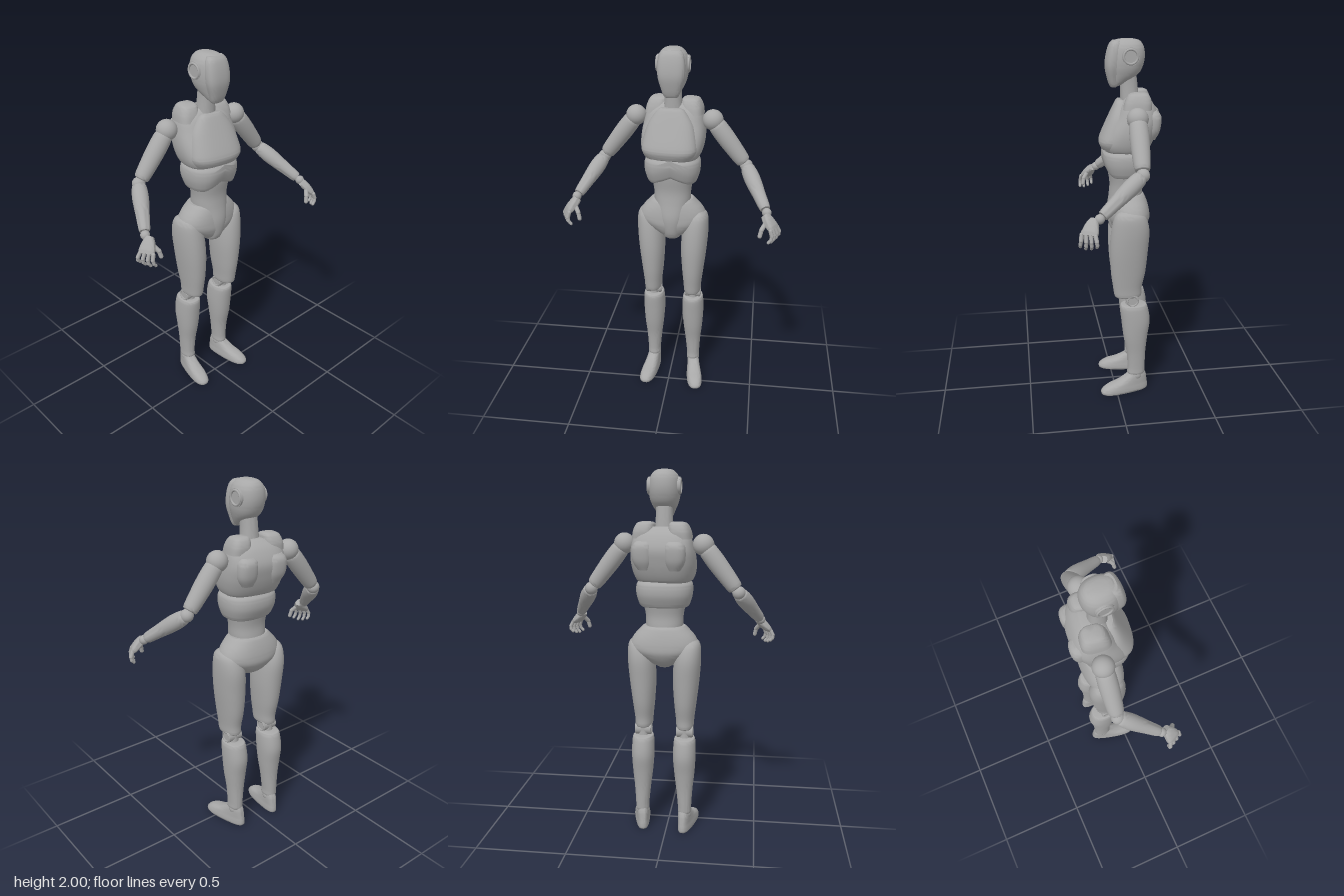
import * as THREE from 'three';
import { toCreasedNormals } from 'three/addons/utils/BufferGeometryUtils.js';

const grey = new THREE.MeshStandardMaterial({ color: 0xa8a8a8 });
grey.name = 'grey plastic';

function add(parent, name, geometry) {
  const m = new THREE.Mesh(geometry, grey);
  m.name = name;
  parent.add(m);
  return m;
}

// Smooth interpolation between neighbouring cross-sections.
function spline(a, b, c, d, t) {
  return 0.5 * (2 * b + (c - a) * t + (2 * a - 5 * b + 4 * c - d) * t * t + (3 * b - a - 3 * c + d) * t * t * t);
}

// Shell through cross-sections listed from top to bottom: [y, back x, front x, half width z, centre z].
function loft(rings, { pow = 2.2, side = 1, steps = 5, n = 32, deform } = {}) {
  const pos = [], idx = [], rows = [];
  const at = i => rings[Math.max(0, Math.min(rings.length - 1, i))];
  for (let i = 0; i < rings.length - 1; i++) {
    for (let k = 0; k < steps; k++) {
      rows.push([0, 1, 2, 3, 4].map(c => spline(...[i - 1, i, i + 1, i + 2].map(r => at(r)[c] ?? 0), k / steps)));
    }
  }
  rows.push([0, 1, 2, 3, 4].map(c => at(rings.length)[c] ?? 0));
  const bend = v => Math.sign(v) * Math.abs(v) ** (2 / pow);
  const put = (x, y, z) => {
    const p = new THREE.Vector3(x, y, z);
    if (deform) deform(p);
    pos.push(p.x, p.y, p.z);
  };
  for (const [y, b, f, w, zc] of rows) {
    for (let j = 0; j < n; j++) {
      const a = (j / n) * Math.PI * 2;
      put((b + f) / 2 + ((f - b) / 2) * bend(Math.cos(a)), y, zc * side + w * bend(Math.sin(a)));
    }
  }
  for (const [y, b, f, , zc] of [rows[0], rows[rows.length - 1]]) put((b + f) / 2, y, zc * side);
  const last = (rows.length - 1) * n, top = rows.length * n;
  for (let j = 0; j < n; j++) {
    const k = (j + 1) % n;
    for (let r = 0; r < last; r += n) idx.push(r + j, r + k, r + n + j, r + k, r + n + k, r + n + j);
    idx.push(top, k, j, top + 1, last + j, last + k);
  }
  const g = new THREE.BufferGeometry();
  g.setAttribute('position', new THREE.Float32BufferAttribute(pos, 3));
  g.setIndex(idx);
  return toCreasedNormals(g, 0.7);
}

// Round limb from p to q; profile lists [fraction of the length, radius].
function limb(parent, name, p, q, profile) {
  const d = q.clone().sub(p), len = d.length();
  const m = add(parent, name, loft(profile.map(([t, r]) => [-t * len, -r, r, r]), { n: 24, pow: 2 }));
  m.position.copy(p);
  m.quaternion.setFromUnitVectors(new THREE.Vector3(0, -1, 0), d.normalize());
}

function ball(parent, name, p, r) {
  add(parent, name, new THREE.SphereGeometry(r, 24, 16)).position.copy(p);
}

// Jointed finger made of capsules.
function finger(parent, name, pts, r) {
  for (let i = 0; i < pts.length - 1; i++) {
    const d = pts[i + 1].clone().sub(pts[i]);
    const m = add(parent, name, new THREE.CapsuleGeometry(r - i * 0.001, d.length(), 5, 10));
    m.position.copy(pts[i]).addScaledVector(d, 0.5);
    m.quaternion.setFromUnitVectors(new THREE.Vector3(0, 1, 0), d.normalize());
  }
}

// Round cover with a raised rim, its axis along z.
function disc(parent, name, x, y, z, r, depth) {
  add(parent, name, new THREE.CylinderGeometry(r, r, depth, 28).rotateX(Math.PI / 2)).position.set(x, y, z);
  for (const s of [-1, 1]) {
    add(parent, name + 'Rim', new THREE.TorusGeometry(r * 0.8, r * 0.14, 8, 28)).position.set(x, y, z + s * depth / 2);
  }
}

function buildHead(body) {
  const head = new THREE.Group();
  head.name = 'head';
  body.add(head);
  add(head, 'skull', loft([[2, -0.11, -0.03, 0.03], [1.99, -0.14, 0, 0.052], [1.96, -0.16, 0.018, 0.075],
    [1.91, -0.166, 0.028, 0.083], [1.86, -0.155, 0.028, 0.08], [1.82, -0.13, 0.022, 0.068],
    [1.785, -0.075, 0.015, 0.05], [1.762, -0.03, 0.005, 0.035]]));
  add(head, 'faceMask', loft([[1.992, -0.04, 0.005, 0.045], [1.97, -0.04, 0.022, 0.062], [1.92, -0.04, 0.037, 0.071],
    [1.86, -0.035, 0.043, 0.069], [1.8, -0.025, 0.032, 0.052], [1.765, -0.02, 0.02, 0.04], [1.755, -0.015, 0.012, 0.03]], { pow: 2.7 }));
  disc(head, 'earCover', -0.08, 1.915, 0, 0.046, 0.166);
  add(head, 'neck', loft([[1.84, -0.12, -0.03, 0.045], [1.76, -0.13, -0.037, 0.045], [1.66, -0.14, -0.04, 0.052]]));
}

function buildTorso(body) {
  // The upper torso is turned slightly about the spine.
  const twist = new THREE.Group(), chest = new THREE.Group();
  twist.name = 'upperTorso';
  chest.name = 'chest';
  twist.position.x = -0.09;
  twist.rotation.y = -0.13;
  chest.position.x = 0.09;
  twist.add(chest);
  body.add(twist);
  add(chest, 'backShell', loft([[1.71, -0.17, -0.07, 0.07], [1.67, -0.212, -0.04, 0.14], [1.6, -0.242, -0.005, 0.165],
    [1.53, -0.232, 0.035, 0.172], [1.47, -0.212, 0.06, 0.165], [1.43, -0.19, 0.05, 0.15], [1.42, -0.175, 0.04, 0.135]], { pow: 2.8 }));
  add(chest, 'chestPlate', loft([[1.69, -0.06, -0.018, 0.055], [1.67, -0.08, -0.005, 0.08], [1.6, -0.1, 0.028, 0.125],
    [1.5, -0.1, 0.072, 0.15], [1.465, -0.1, 0.078, 0.148], [1.435, -0.1, 0.065, 0.132]], { pow: 2.6 }));
  for (const s of [-1, 1]) {
    add(chest, 'shoulderPlate', loft([[1.735, -0.165, -0.11, 0.03, 0.085], [1.725, -0.185, -0.08, 0.046, 0.088],
      [1.69, -0.2, -0.06, 0.056, 0.095], [1.65, -0.2, -0.05, 0.058, 0.1]], { pow: 3, side: s }));
    add(chest, 'shoulderBlade', loft([[1.64, -0.23, -0.16, 0.04, 0.08], [1.61, -0.252, -0.15, 0.056, 0.085],
      [1.54, -0.246, -0.15, 0.055, 0.085], [1.49, -0.222, -0.15, 0.035, 0.08]], { pow: 2.5, side: s }));
  }
  // The lower edge of the rib plate arches up in front.
  add(body, 'ribPlate', loft([[1.425, -0.18, 0.05, 0.138], [1.4, -0.195, 0.063, 0.152], [1.35, -0.195, 0.061, 0.152],
    [1.3, -0.175, 0.045, 0.138], [1.285, -0.165, 0.035, 0.128]], {
    pow: 2.5, deform: p => { if (p.x > -0.06 && p.y < 1.4) p.y += 0.04 * Math.max(0, 1 - Math.abs(p.z) / 0.1) * Math.min(1, (p.x + 0.06) / 0.08); } }));
  add(body, 'abdomen', loft([[1.42, -0.17, 0.03, 0.125], [1.33, -0.17, 0.033, 0.12], [1.24, -0.155, 0.02, 0.104],
    [1.17, -0.16, 0.024, 0.1], [1.08, -0.16, 0.036, 0.085], [1, -0.14, 0.025, 0.058], [0.96, -0.12, 0.005, 0.048], [0.948, -0.11, -0.015, 0.035]]));
  add(body, 'pelvis', loft([[1.18, -0.16, 0, 0.115], [1.165, -0.172, 0.012, 0.13], [1.12, -0.188, 0.022, 0.17],
    [1.07, -0.197, 0.026, 0.188], [1.03, -0.193, 0.024, 0.16], [0.98, -0.16, 0.005, 0.085], [0.955, -0.12, -0.02, 0.045]], { pow: 2.3 }));
}

function buildLeg(body, s) {
  const leg = new THREE.Group();
  leg.name = s > 0 ? 'rightLeg' : 'leftLeg';
  leg.position.x = s > 0 ? -0.003 : 0.02;
  body.add(leg);
  const z = 0.118 * s, o = { side: s };
  add(leg, 'thigh', loft([[1.11, -0.13, -0.04, 0.025, 0.145], [1.08, -0.175, -0.01, 0.057, 0.14], [1, -0.2, 0.008, 0.073, 0.13],
    [0.88, -0.195, 0.016, 0.073, 0.122], [0.75, -0.183, 0.01, 0.062, 0.118], [0.66, -0.165, -0.002, 0.052, 0.117],
    [0.61, -0.162, -0.01, 0.048, 0.117], [0.6, -0.15, -0.02, 0.04, 0.117]], o));
  add(leg, 'kneeLink', loft([[0.62, -0.145, -0.065, 0.032, 0.118], [0.57, -0.145, -0.075, 0.028, 0.118], [0.53, -0.15, -0.07, 0.035, 0.118]], o));
  disc(leg, 'kneeJoint', -0.108, 0.585, z, 0.036, 0.084);
  add(leg, 'shin', loft([[0.553, -0.18, -0.06, 0.047, 0.118], [0.54, -0.197, -0.043, 0.059, 0.118], [0.45, -0.213, -0.05, 0.063, 0.118],
    [0.35, -0.2, -0.062, 0.057, 0.119], [0.25, -0.19, -0.08, 0.046, 0.12], [0.15, -0.187, -0.087, 0.038, 0.122],
    [0.115, -0.185, -0.085, 0.038, 0.122], [0.105, -0.175, -0.095, 0.03, 0.122]], o));
  ball(leg, 'ankle', new THREE.Vector3(-0.137, 0.1, 0.122 * s), 0.038);
  // Foot turned outward, broader at the ball and narrower at the heel.
  const foot = add(leg, 'foot', loft([[0.125, -0.045, 0.04, 0.033], [0.1, -0.055, 0.065, 0.039], [0.07, -0.06, 0.12, 0.042],
    [0.05, -0.063, 0.18, 0.044], [0.025, -0.066, 0.213, 0.047], [0.006, -0.064, 0.215, 0.046], [0, -0.055, 0.205, 0.042]],
  { pow: 2.5, deform: p => { p.z *= 0.82 + 1.4 * Math.max(0, Math.min(0.2, p.x)); } }));
  foot.position.set(-0.14, 0, 0.122 * s);
  foot.rotation.y = -0.17 * s;
}

function buildArm(body, s) {
  const arm = new THREE.Group();
  arm.name = s > 0 ? 'rightArm' : 'leftArm';
  body.add(arm);
  const V = (x, y, z) => new THREE.Vector3(x, y, z * s);
  const shift = s > 0 ? [0, 0, 0] : [0.055, 0.07, 0.105];
  const shoulder = V(-0.15 + shift[0], 1.62, 0.212), elbow = V(-0.16 + shift[1], 1.375, 0.4), wrist = V(0.035 + shift[2], 1.2, 0.52);
  ball(arm, 'shoulderJoint', shoulder, 0.056);
  limb(arm, 'upperArm', shoulder, elbow, [[0.08, 0.035], [0.12, 0.047], [0.35, 0.05], [0.65, 0.046], [0.88, 0.04], [0.92, 0.03]]);
  ball(arm, 'elbowJoint', elbow, 0.035);
  limb(arm, 'forearm', elbow, wrist, [[0.03, 0.028], [0.08, 0.038], [0.3, 0.043], [0.65, 0.035], [0.9, 0.029], [0.93, 0.022]]);
  ball(arm, 'wristJoint', wrist, 0.025);
  // Palm across the knuckle line, then four fingers hanging down and a thumb.
  const hand = new THREE.Group();
  hand.name = 'hand';
  arm.add(hand);
  const knuckle = V(0.09 + shift[2], 1.135, 0.56), across = V(0.88, 0, -0.47).normalize();
  const up = wrist.clone().sub(knuckle);
  up.addScaledVector(across, -up.dot(across)).normalize();
  const palm = add(hand, 'palm', loft([[0.085, -0.024, 0.018, 0.021], [0.055, -0.034, 0.034, 0.023],
    [0.015, -0.043, 0.043, 0.019], [-0.004, -0.04, 0.04, 0.012]], { pow: 2.6, n: 24 }));
  palm.position.copy(knuckle);
  palm.quaternion.setFromRotationMatrix(new THREE.Matrix4().makeBasis(across, up, across.clone().cross(up)));
  for (let i = 0; i < 4; i++) {
    const u = (i - 1.5) * 0.024, len = [0.85, 1, 1.05, 0.95][i];
    const at = (k, y, z) => knuckle.clone().addScaledVector(across, u * k).add(V(0.004, -y * len, z));
    finger(hand, 'finger', [at(1, 0, 0), at(1.12, 0.03, 0.011), at(1.2, 0.051, 0.008), at(1.2, 0.066, -0.004)], 0.0105);
  }
  const x = shift[2];
  finger(hand, 'thumb', [V(0.085 + x, 1.168, 0.52), V(0.112 + x, 1.132, 0.497), V(0.118 + x, 1.1, 0.49)], 0.0125);
}

export function createModel() {
  const model = new THREE.Group(), body = new THREE.Group();
  model.name = 'mannequin';
  body.name = 'body';
  body.position.z = -0.0175;
  model.add(body);
  buildHead(body);
  buildTorso(body);
  for (const s of [1, -1]) {
    buildLeg(body, s);
    buildArm(body, s);
  }
  return model;
}
